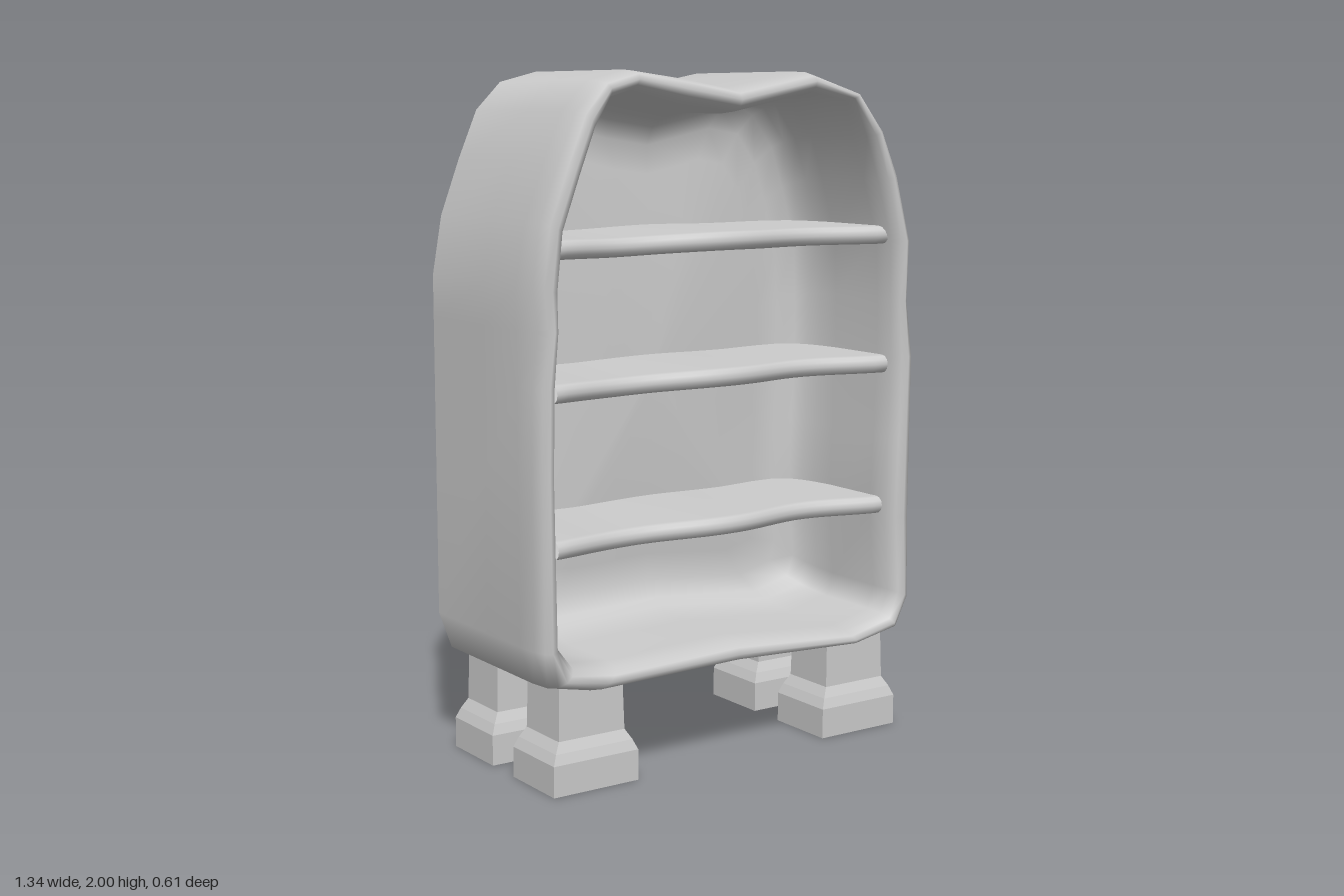
import * as THREE from 'three';

const material = new THREE.MeshStandardMaterial({ color: 0xcccccc, side: THREE.DoubleSide });

// Skin a list of rows of [x, y, z] points; closed rows wrap around.
function loft(name, rows, closed, flat = false) {
  const n = rows[0].length, index = [];
  const cols = closed ? n : n - 1;
  for (let j = 0; j < rows.length - 1; j++) {
    for (let i = 0; i < cols; i++) {
      const k = (i + 1) % n;
      const a = j * n + i, b = j * n + k, c = a + n, d = b + n;
      index.push(a, b, c, b, d, c);
    }
  }
  let geo = new THREE.BufferGeometry();
  geo.setAttribute('position', new THREE.Float32BufferAttribute(rows.flat(2), 3));
  geo.setIndex(index);
  if (flat) geo = geo.toNonIndexed();
  geo.computeVertexNormals();
  const mesh = new THREE.Mesh(geo, material);
  mesh.name = name;
  return mesh;
}

// Cabinet outline, counter-clockwise from the top dip: outer x, y, inner x, y
const outline = [
  [0, 1.95, 0, 1.88], [-0.17, 1.98, -0.17, 1.905], [-0.32, 2.0, -0.33, 1.94], [-0.44, 1.97, -0.41, 1.92],
  [-0.52, 1.89, -0.46, 1.83], [-0.58, 1.75, -0.51, 1.71], [-0.64, 1.59, -0.565, 1.56],
  [-0.67, 1.42, -0.585, 1.4], [-0.67, 1.3, -0.59, 1.3], [-0.67, 1.15, -0.595, 1.15], [-0.67, 0.9, -0.6, 0.9],
  [-0.67, 0.42, -0.59, 0.42], [-0.63, 0.31, -0.54, 0.36], [-0.49, 0.28, -0.4, 0.345],
  [0, 0.29, 0, 0.36], [0.45, 0.275, 0.42, 0.325], [0.61, 0.305, 0.56, 0.36],
  [0.66, 0.4, 0.585, 0.43], [0.66, 0.65, 0.565, 0.66], [0.66, 0.9, 0.575, 0.9],
  [0.665, 1.15, 0.585, 1.15], [0.66, 1.32, 0.585, 1.32], [0.645, 1.5, 0.577, 1.5], [0.59, 1.7, 0.525, 1.68],
  [0.53, 1.83, 0.48, 1.81], [0.44, 1.94, 0.4, 1.915], [0.26, 2.0, 0.27, 1.935],
];

// Back of the cavity, bulging gently forward in its middle: [scale towards the middle, z]
const dish = [[1, 0], [0.985, -0.07], [0.965, -0.115], [0.93, -0.155], [0.84, -0.185], [0.7, -0.185], [0.45, -0.165], [0, -0.155]];
function dishZ(s) {
  const i = dish.findIndex(([scale], k) => k > 0 && s >= scale);
  const [s0, z0] = dish[i - 1], [s1, z1] = dish[i];
  return z1 + (z0 - z1) * (s - s1) / (s0 - s1);
}

// Open-backed shell, rounded lip and shallow cavity as one skin
function cabinet() {
  const midY = 1.1;
  // [blend from outer to inner outline, z, scale]
  const sections = [
    [0, -0.293, 1], [0, 0, 1], [0, 0.18, 1], [0.05, 0.25, 1], [0.2, 0.288, 1], [0.45, 0.3, 1],
    [0.7, 0.29, 1], [0.92, 0.26, 1], [1, 0.2, 1],
    ...dish.map(([s, z]) => [1, z, s]),
  ];
  const rows = sections.map(([t, z, s]) => outline.map(([ox, oy, ix, iy]) => {
    const x = ox + (ix - ox) * t, y = oy + (iy - oy) * t;
    // Slight hand-shaped dents: the lip is pinched in at the sides and set back at the top
    const front = z > 0.2 ? 1 - t * 0.8 : 0;
    const pinch = Math.abs(ox) > 0.5 ? 0.025 * Math.exp(-(((y - 1.31) / 0.11) ** 2)) : 0;
    const setBack = z > 0.2 && y > 1.8 ? 0.03 * Math.exp(-(((x + 0.3) / 0.14) ** 2)) : 0;
    return [(x - Math.sign(x) * pinch * front) * s, midY + (y - midY) * s ** 0.75, z - setBack];
  }));
  return loft('cabinetShell', rows, true);
}

// Wavy hollow shelf, rounded in front; its straight back breaks through the cavity wall
function shelf(topY, index) {
  const rows = [], steps = 28, half = 0.585, h = 0.055;
  for (let i = 0; i <= steps; i++) {
    const x = -half + (2 * half * i) / steps;
    const front = 0.225 + 0.03 * Math.cos(x * 10);
    const lift = 0.004 * Math.exp(-((x / 0.15) ** 2)) - 0.006 * Math.exp(-(((x + 0.35) / 0.15) ** 2));
    const back = Math.abs(x) < 0.5 ? -0.205 : dishZ(Math.abs(x) / 0.6) + 0.005;
    const row = [[x, topY + lift, back]];
    for (let k = 0; k <= 6; k++) {
      const a = Math.PI / 2 - (k / 6) * Math.PI;
      row.push([x, topY + lift - h / 2 + Math.sin(a) * h / 2, front - h / 2 + Math.cos(a) * h / 2]);
    }
    row.push([x, topY + lift - h, back]);
    rows.push(row);
  }
  return loft('shelf' + (index + 1), rows, false);
}

// Flared sheet foot, U-shaped in plan, open to the rear with curled edges
function leg(name, x, z) {
  const curl = 0.03;
  const levels = [[0, 0.14, 0.112], [0.09, 0.14, 0.112], [0.12, 0.127, 0.102], [0.15, 0.109, 0.088], [0.3, 0.105, 0.085]];
  const rows = levels.map(([y, w, d]) => [
    [w - curl, -d], [w - curl / 2, -d - 0.008], [w, -d], [w, d],
    [-w, d], [-w, -d], [-w + curl / 2, -d - 0.008], [-w + curl, -d],
  ].map(([px, pz]) => [px, y, pz]).reverse());
  const mesh = loft(name, rows, false, true);
  mesh.position.set(x, 0, z);
  return mesh;
}

export function createModel() {
  const model = new THREE.Group();
  model.name = 'shelfCabinet';
  model.add(cabinet());
  [1.545, 1.153, 0.718].forEach((y, i) => model.add(shelf(y, i)));
  for (const [side, x] of [['Left', 0.473], ['Right', -0.478]]) {
    model.add(leg('front' + side + 'Leg', x, 0.158));
    model.add(leg('back' + side + 'Leg', x, -0.186));
  }
  return model;
}
